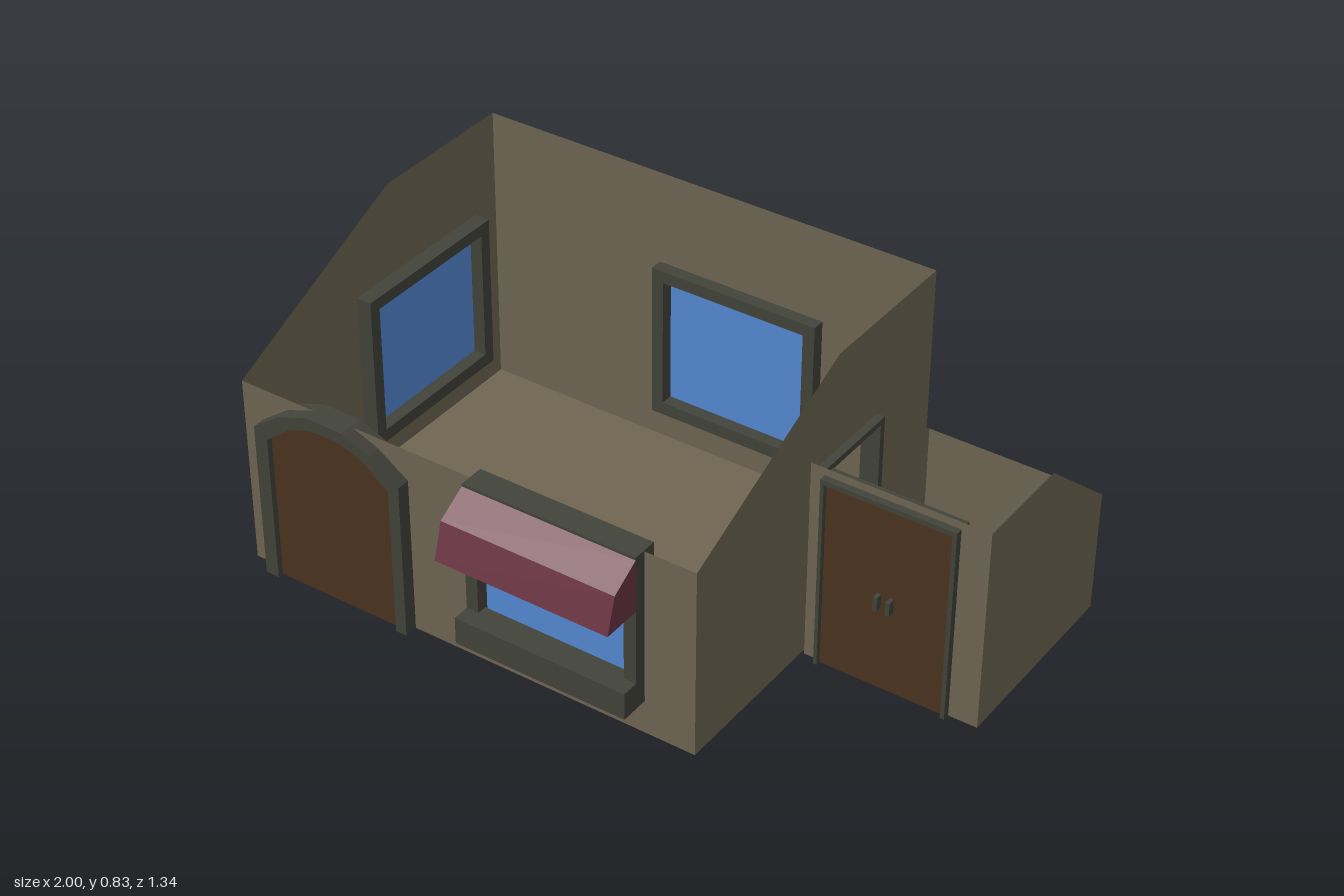
import * as THREE from 'three';

const mat = (color) => new THREE.MeshStandardMaterial({ color, side: THREE.DoubleSide, flatShading: true });

export function createModel() {
  const house = new THREE.Group();
  house.name = 'house';
  const wallMat = mat(0x6f6652), trimMat = mat(0x42433a), doorMat = mat(0x4c341e);
  const awningMat = mat(0x6b3543), glassMat = mat(0x568ad6);

  const FLOOR = 0.01, FRONT = 0.517, BACK = -0.523, LEFT = 0.5, RIGHT = -0.86;
  const vecs = (pts) => pts.map(([x, y]) => new THREE.Vector2(x, y));
  const rect = (x0, x1, y0, y1) => [[x0, y0], [x1, y0], [x1, y1], [x0, y1]];
  const shapeOf = (pts, holes = []) => {
    const s = new THREE.Shape(vecs(pts));
    holes.forEach((h) => s.holes.push(new THREE.Path(vecs(h))));
    return s;
  };
  const add = (parent, name, geometry, material, x = 0, y = 0, z = 0) => {
    const mesh = new THREE.Mesh(geometry, material);
    mesh.name = name;
    mesh.position.set(x, y, z);
    parent.add(mesh);
    return mesh;
  };
  const panel = (parent, name, pts, holes, material, x = 0, z = 0) =>
    add(parent, name, new THREE.ShapeGeometry(shapeOf(pts, holes)), material, x, 0, z);
  const slab = (parent, name, pts, holes, depth, material, z) =>
    add(parent, name, new THREE.ExtrudeGeometry(shapeOf(pts, holes), { depth, bevelEnabled: false }), material, 0, 0, z);
  // Side walls are drawn as (z, y) outlines and turned to stand along z
  const sidePanel = (name, pts, holes, x) => {
    panel(house, name, pts, holes, wallMat, x).rotation.y = -Math.PI / 2;
  };

  // Openings
  const W = 0.502, RIM = 0.035;
  const windowHole = (c) => rect(c - W / 2 + RIM, c + W / 2 - RIM, 0.145, 0.525);
  const frontWin = 0.104, backWin = -0.07, sideWin = -0.183;
  const archOuter = [[-0.797, FLOOR], [-0.342, FLOOR], [-0.342, 0.465], [-0.43, 0.525], [-0.513, 0.558], [-0.626, 0.558], [-0.715, 0.525], [-0.797, 0.465]];
  const archInner = [[-0.757, FLOOR], [-0.375, FLOOR], [-0.375, 0.44], [-0.455, 0.502], [-0.525, 0.525], [-0.61, 0.525], [-0.68, 0.502], [-0.757, 0.44]];
  const passage = rect(-0.235, -0.005, FLOOR + 0.005, 0.545);

  // Main room walls
  const gable = [[BACK, FLOOR], [FRONT, FLOOR], [FRONT, 0.556], [-0.078, 0.83], [BACK, 0.83]];
  const frontOutline = [[RIGHT, FLOOR], [-0.757, FLOOR], ...archInner.slice(2).reverse(), [-0.375, FLOOR],
    [LEFT, FLOOR], [LEFT, 0.556], [RIGHT, 0.556]];
  panel(house, 'frontWall', frontOutline, [windowHole(frontWin)], wallMat, 0, FRONT);
  panel(house, 'backWall', rect(RIGHT, LEFT, FLOOR, 0.83), [windowHole(backWin)], wallMat, 0, BACK);
  sidePanel('rightWall', gable, [windowHole(sideWin)], RIGHT);
  sidePanel('leftWall', gable, [passage], LEFT);

  // Annex walls
  const A0 = 0.508, A1 = 1.0, AF = 0.048;
  const annexSide = [[BACK, FLOOR], [AF, FLOOR], [AF, 0.593], [-0.243, 0.593], [BACK, 0.36]];
  sidePanel('annexInnerWall', annexSide, [passage], A0);
  sidePanel('annexOuterWall', annexSide, [], A1);
  panel(house, 'annexBackWall', rect(A0, A1, FLOOR, 0.36), [], wallMat, 0, BACK);
  panel(house, 'annexFrontWall',
    [[A0, FLOOR], [0.557, FLOOR], [0.557, 0.56], [0.908, 0.56], [0.908, FLOOR], [A1, FLOOR], [A1, 0.593], [A0, 0.593]],
    [], wallMat, 0, AF);

  // Floors
  [['mainFloor', RIGHT, LEFT, FRONT], ['annexFloor', A0, A1, AF]].forEach(([name, x0, x1, z1]) => {
    add(house, name, new THREE.PlaneGeometry(x1 - x0, z1 - BACK), wallMat, (x0 + x1) / 2, FLOOR, (z1 + BACK) / 2)
      .rotation.x = -Math.PI / 2;
  });

  // Windows with frame, sill and awning, built facing +z
  const addWindow = (name, x, z, turn) => {
    const g = new THREE.Group();
    g.name = name;
    slab(g, 'windowFrame', rect(-W / 2, W / 2, 0.108, 0.56), [windowHole(0)], 0.073, trimMat, -0.037);
    panel(g, 'windowGlass', windowHole(0), [], glassMat);
    add(g, 'windowSill', new THREE.BoxGeometry(W, 0.078, 0.076), trimMat, 0, 0.147, 0.046);
    const profile = [[0.03, 0.402], [0.149, 0.402], [0.12, 0.502], [0.035, 0.553]];
    const awning = slab(g, 'awning', profile, [], W, awningMat, 0);
    awning.rotation.y = -Math.PI / 2;
    awning.position.x = W / 2;
    g.position.set(x, 0, z);
    g.rotation.y = turn;
    house.add(g);
  };
  addWindow('frontWindow', frontWin, FRONT, 0);
  addWindow('backWindow', backWin, BACK, Math.PI);
  addWindow('sideWindow', RIGHT + 0.008, sideWin, -Math.PI / 2);

  // Arched front door
  const archFrame = [...archOuter.slice(1), archOuter[0], archInner[0], ...archInner.slice(2).reverse(), archInner[1]];
  slab(house, 'archFrame', archFrame, [], 0.073, trimMat, 0.482);
  slab(house, 'archDoor', archInner, [], 0.034, doorMat, 0.504);

  // Annex double door with two handles
  const doorFrame = [[0.547, FLOOR], [0.557, FLOOR], [0.557, 0.558], [0.908, 0.558], [0.908, FLOOR], [0.92, FLOOR], [0.92, 0.572], [0.547, 0.572]];
  slab(house, 'annexDoorFrame', doorFrame, [], 0.056, trimMat, 0.012);
  slab(house, 'annexDoor', rect(0.557, 0.908, FLOOR, 0.558), [], 0.026, doorMat, 0.028);
  [0.715, 0.75].forEach((x) =>
    add(house, 'doorHandle', new THREE.BoxGeometry(0.012, 0.04, 0.02), trimMat, x, 0.275, 0.064));

  // Frame of the open passage between the room and the annex
  const passageFrame = slab(house, 'passageFrame', rect(-0.253, 0.013, 0.003, 0.562), [passage], 0.054, trimMat, 0);
  passageFrame.rotation.y = -Math.PI / 2;
  passageFrame.position.x = 0.531;

  return house;
}
